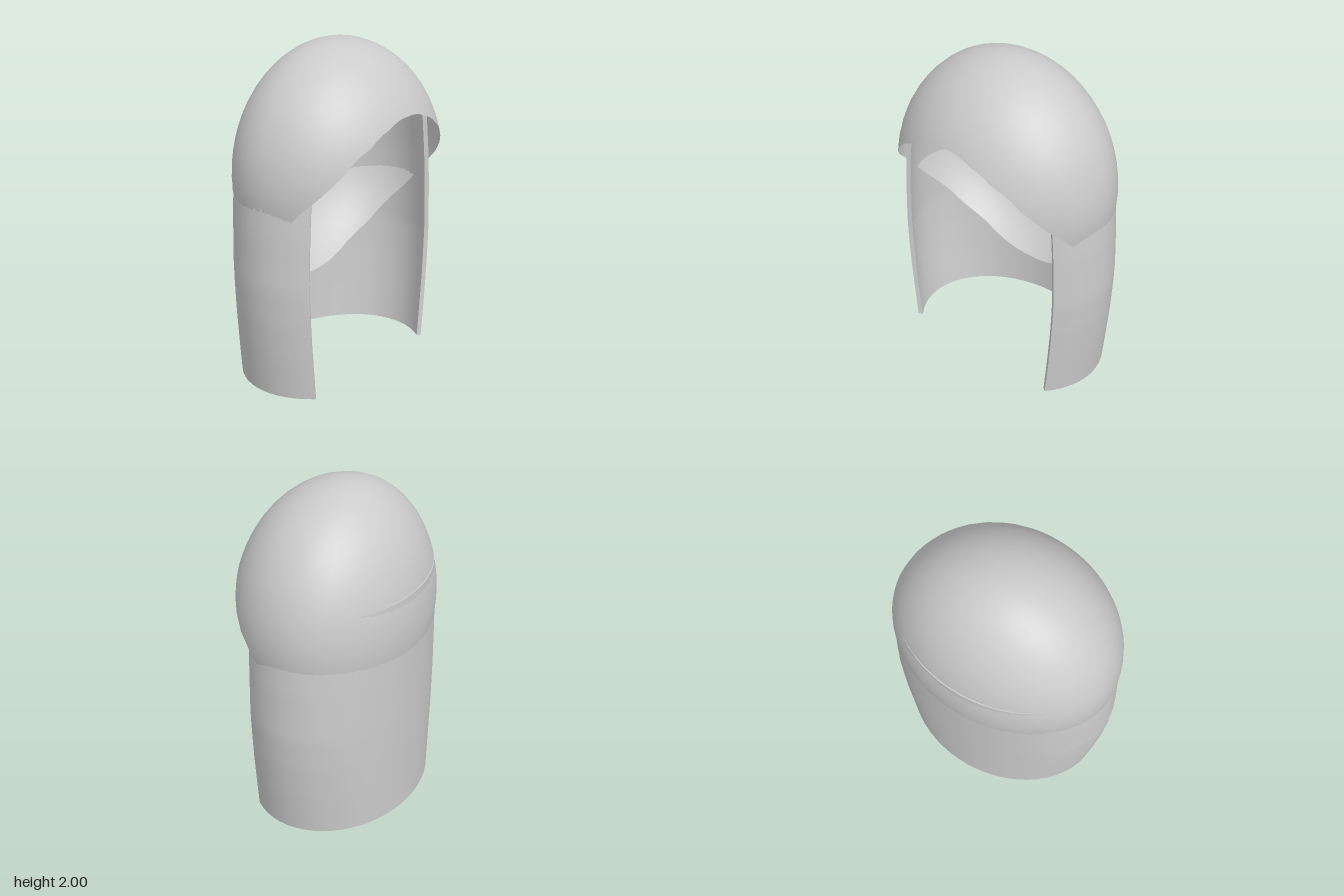
import * as THREE from 'three';
import { ParametricGeometry } from 'three/addons/geometries/ParametricGeometry.js';
import { mergeGeometries } from 'three/addons/utils/BufferGeometryUtils.js';

const { degToRad, lerp } = THREE.MathUtils;

// Linear lookup in a short list of [key, value] pairs
function lookup(table, key) {
  let i = 0;
  while (i < table.length - 2 && key > table[i + 1][0]) i++;
  const [k0, v0] = table[i], [k1, v1] = table[i + 1];
  return lerp(v0, v1, THREE.MathUtils.clamp((key - k0) / (k1 - k0), 0, 1));
}

// Cap: an egg swept from a pole at the back of the head forward to the rim.
// rim: angle around the z axis -> how far forward the shell reaches (degrees)
const rim = [[-90, 72], [-57, 73], [-34, 84], [-9, 111], [0, 123], [11.5, 134], [37, 145], [60, 149], [90, 150]];

function capPoint(u, v, target) {
  const a = u * Math.PI * 2 - Math.PI / 2;
  const elevation = THREE.MathUtils.radToDeg(Math.asin(THREE.MathUtils.clamp(Math.sin(a), -1, 1)));
  const t = lerp(0.01, degToRad(lookup(rim, elevation)), v);
  const z = -Math.cos(t);
  target.set(
    0.7 * Math.sin(t) * Math.cos(a),
    1.24 + 0.76 * Math.sin(t) * Math.sin(a),
    z * (z > 0 ? 0.6 : 0.52)
  );
}

// Curtain: a thin wall around the back and sides, open at the front
const curtainTop = 1.46, wall = 0.028;
const halfWidth = [[0, 0.65], [0.25, 0.68], [0.45, 0.7], [0.7, 0.715], [1.0, 0.705], [1.2, 0.69], [1.46, 0.66]];
const halfDepth = [[0, 0.506], [0.7, 0.51], [1.2, 0.512], [1.46, 0.505]];

// u runs from the right front edge round the back to the left one, v up, w through the wall
function curtainPoint(u, v, w, target) {
  const y = v * curtainTop;
  const a = lerp(degToRad(-213.3), degToRad(33.3), u);
  target.set(
    (lookup(halfWidth, y) - w * wall) * Math.cos(a),
    y,
    (lookup(halfDepth, y) - w * wall) * Math.sin(a)
  );
}

function curtainGeometry() {
  const patch = (map, cols, rows) =>
    new ParametricGeometry((s, t, target) => curtainPoint(...map(s, t), target), cols, rows);
  return mergeGeometries([
    patch((s, t) => [s, t, 0], 40, 14),       // outer face
    patch((s, t) => [1 - s, t, 1], 40, 14),   // inner face
    patch((s, t) => [s, 1, t], 40, 1),        // top edge
    patch((s, t) => [1 - s, 0, t], 40, 1),    // hem
    patch((s, t) => [0, s, t], 14, 1),        // right front edge
    patch((s, t) => [1, 1 - s, t], 14, 1)     // left front edge
  ]);
}

export function createModel() {
  const group = new THREE.Group();
  group.name = 'hair';
  const material = new THREE.MeshStandardMaterial({ color: 0xcccccc, side: THREE.DoubleSide });

  const cap = new THREE.Mesh(new ParametricGeometry(capPoint, 48, 24), material);
  cap.name = 'cap';

  const curtain = new THREE.Mesh(curtainGeometry(), material);
  curtain.name = 'backCurtain';

  group.add(cap, curtain);
  return group;
}
